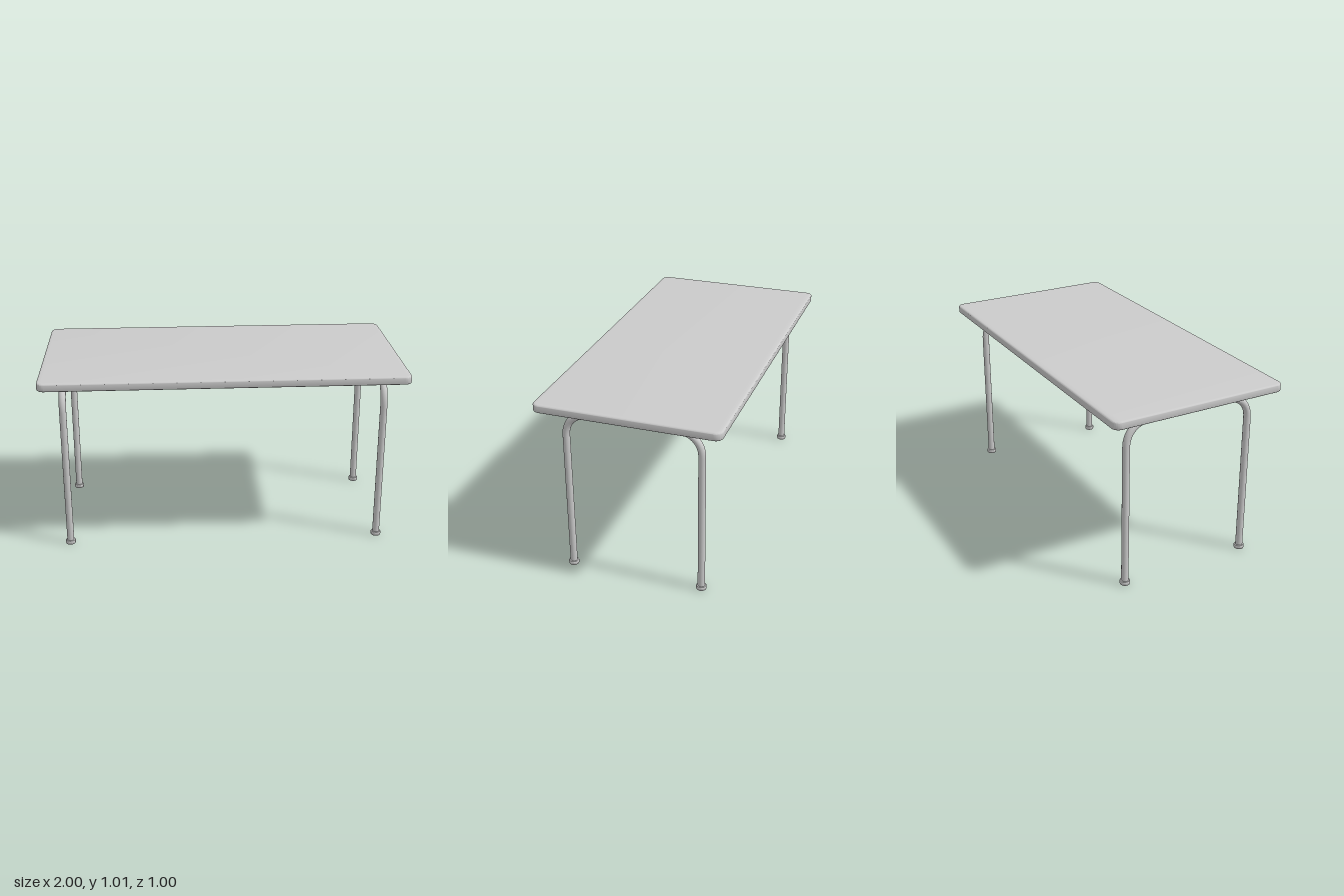
import * as THREE from 'three';
import { toCreasedNormals } from 'three/addons/utils/BufferGeometryUtils.js';

const LEG_X = 0.88, LEG_Z = 0.368, RAIL_Y = 0.944, TUBE_R = 0.0195;
const material = new THREE.MeshStandardMaterial({ color: 0xcccccc });

function addMesh(parent, name, geometry) {
  const mesh = new THREE.Mesh(geometry, material);
  mesh.name = name;
  parent.add(mesh);
  return mesh;
}

function roundedRect(w, d, r) {
  const s = new THREE.Shape();
  s.absarc(w / 2 - r, d / 2 - r, r, 0, Math.PI / 2);
  s.absarc(-w / 2 + r, d / 2 - r, r, Math.PI / 2, Math.PI);
  s.absarc(-w / 2 + r, -d / 2 + r, r, Math.PI, Math.PI * 1.5);
  s.absarc(w / 2 - r, -d / 2 + r, r, Math.PI * 1.5, Math.PI * 2);
  s.closePath();
  return s;
}

// Slab with rounded corners and softened rims
function tabletopGeometry() {
  const bevel = 0.008, inset = 0.018, bottom = 0.966, top = 1.013;
  const g = new THREE.ExtrudeGeometry(roundedRect(2, 1, 0.04), {
    depth: top - bottom - 2 * bevel, curveSegments: 10,
    bevelThickness: bevel, bevelSize: inset, bevelOffset: -inset, bevelSegments: 5,
  });
  g.rotateX(-Math.PI / 2);
  g.translate(0, bottom + bevel, 0);
  return toCreasedNormals(g, 0.7);
}

// One bent tube makes a pair of legs and the rail between them
function legFrameGeometry() {
  const v = (y, z) => new THREE.Vector3(0, y, z);
  const path = new THREE.CurvePath();
  path.add(new THREE.LineCurve3(v(0.015, LEG_Z), v(0.8, LEG_Z)));
  path.add(new THREE.CubicBezierCurve3(v(0.8, LEG_Z), v(0.89, LEG_Z), v(0.935, 0.31), v(RAIL_Y, 0.2)));
  path.add(new THREE.LineCurve3(v(RAIL_Y, 0.2), v(RAIL_Y, -0.2)));
  path.add(new THREE.CubicBezierCurve3(v(RAIL_Y, -0.2), v(0.935, -0.31), v(0.89, -LEG_Z), v(0.8, -LEG_Z)));
  path.add(new THREE.LineCurve3(v(0.8, -LEG_Z), v(0.015, -LEG_Z)));
  return new THREE.TubeGeometry(path, 160, TUBE_R, 20, false);
}

// Saddle strap wrapped under the rail, with thin flanges against the tabletop
function bracketGeometry() {
  const r = 0.022, top = 0.967, flange = 0.037, length = 0.39;
  const s = new THREE.Shape();
  s.moveTo(flange, top);
  s.lineTo(-flange, top);
  s.lineTo(-flange, top - 0.004);
  s.quadraticCurveTo(-r, top - 0.005, -r, RAIL_Y);
  s.absarc(0, RAIL_Y, r, Math.PI, Math.PI * 2);
  s.quadraticCurveTo(r, top - 0.005, flange, top - 0.004);
  s.closePath();
  const g = new THREE.ExtrudeGeometry(s, { depth: length, bevelEnabled: false, curveSegments: 14 });
  g.translate(0, 0, -length / 2);
  return toCreasedNormals(g, 0.7);
}

// Rounded end cap
function footGeometry() {
  const profile = [[0, 0], [0.024, 0], [0.027, 0.003], [0.028, 0.008], [0.028, 0.019], [0.026, 0.023], [0.018, 0.024]];
  const g = new THREE.LatheGeometry(profile.map(([x, y]) => new THREE.Vector2(x, y)), 28);
  return toCreasedNormals(g, 0.9);
}

export function createModel() {
  const table = new THREE.Group();
  table.name = 'table';
  addMesh(table, 'tabletop', tabletopGeometry());

  const frame = legFrameGeometry(), bracket = bracketGeometry(), foot = footGeometry();
  for (const side of [1, -1]) {
    const legs = new THREE.Group();
    legs.name = side > 0 ? 'leftLegPair' : 'rightLegPair';
    legs.position.x = side * LEG_X;
    addMesh(legs, 'legTube', frame);
    addMesh(legs, 'railBracket', bracket);
    addMesh(legs, 'frontFoot', foot).position.z = LEG_Z;
    addMesh(legs, 'backFoot', foot).position.z = -LEG_Z;
    table.add(legs);
  }
  return table;
}
